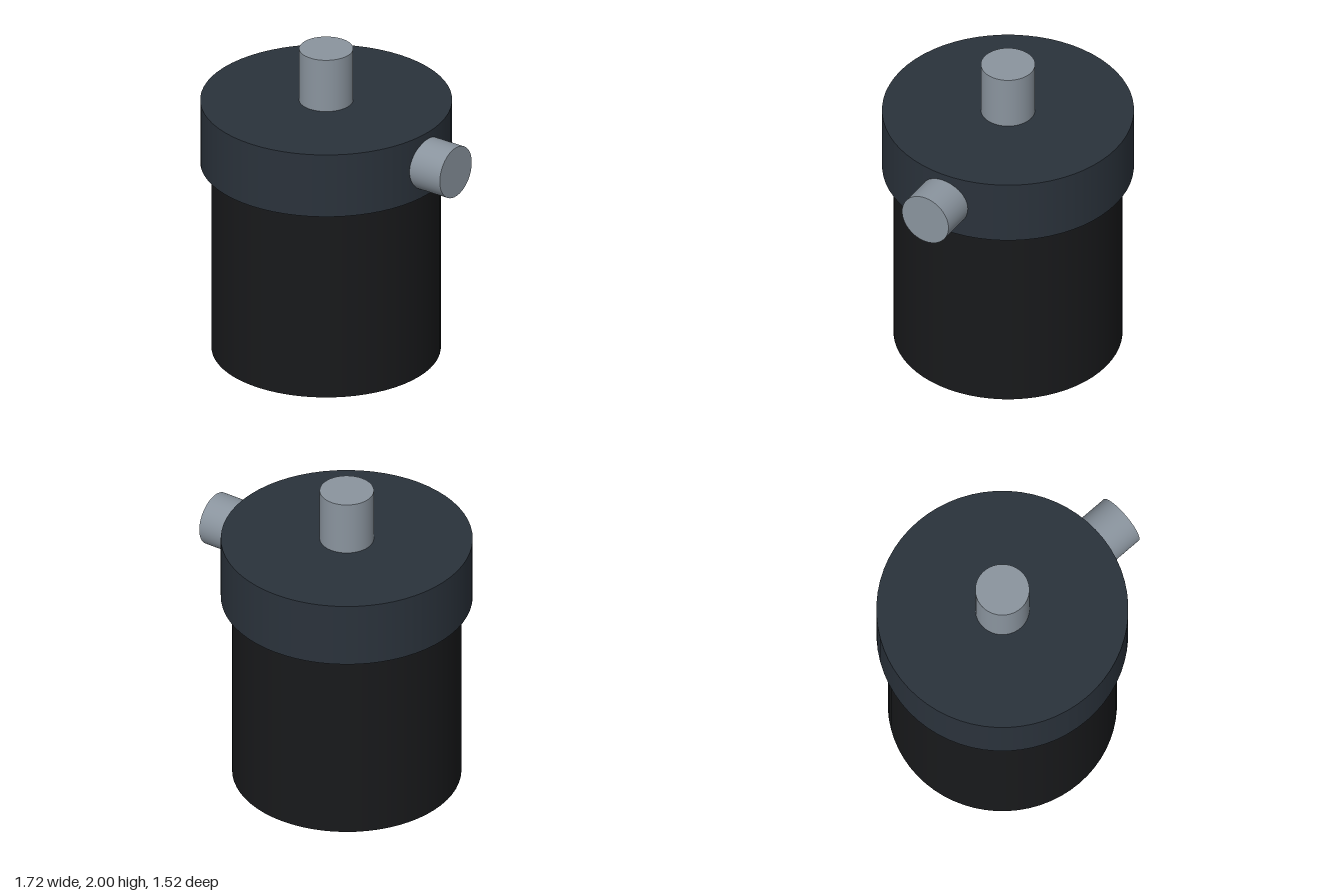
import * as THREE from 'three';

const AXIS_X = -0.105; // the side port pushes the main axis off centre

export function createModel() {
  const model = new THREE.Group();
  const bodyMat = new THREE.MeshStandardMaterial({ color: 0x18191b });
  const capMat = new THREE.MeshStandardMaterial({ color: 0x2a323b });
  const metalMat = new THREE.MeshStandardMaterial({ color: 0x8a949e });

  // Upright cylinder on the main axis, from y0 to y1
  function upright(name, radius, y0, y1, material) {
    const mesh = new THREE.Mesh(new THREE.CylinderGeometry(radius, radius, y1 - y0, 64), material);
    mesh.name = name;
    mesh.position.set(AXIS_X, (y0 + y1) / 2, 0);
    model.add(mesh);
  }

  upright('canisterBody', 0.69, 0, 1.245, bodyMat);
  upright('cap', 0.758, 1.243, 1.657, capMat);
  upright('topPort', 0.163, 1.655, 2, metalMat);

  // Side port, starting just inside the cap wall
  const x0 = 0.6, x1 = 0.86;
  const sidePort = new THREE.Mesh(new THREE.CylinderGeometry(0.163, 0.163, x1 - x0, 64), metalMat);
  sidePort.name = 'sidePort';
  sidePort.rotation.z = -Math.PI / 2;
  sidePort.position.set((x0 + x1) / 2, 1.45, 0);
  model.add(sidePort);

  return model;
}
